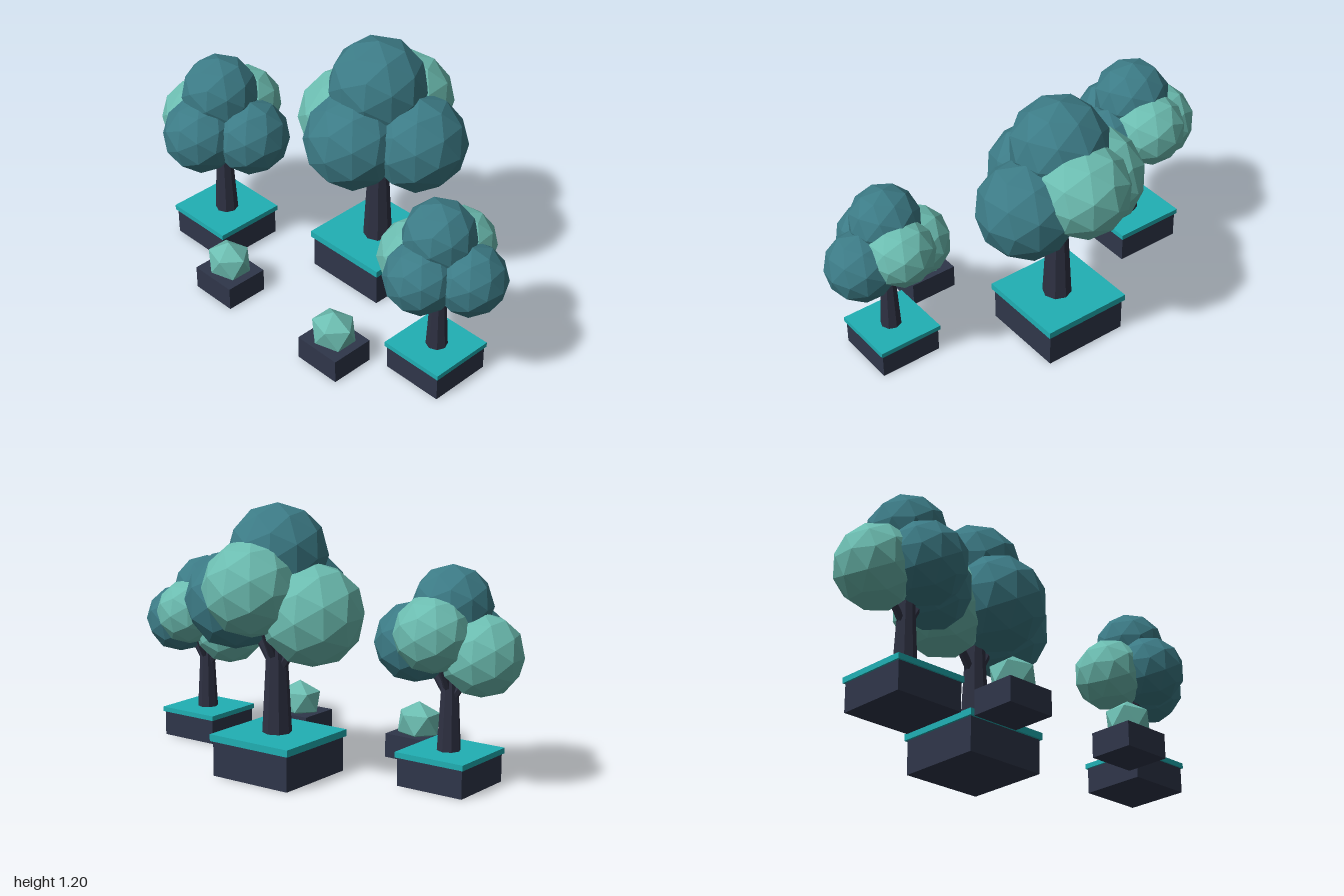
import * as THREE from 'three';

const flat = (name, color) => {
  const m = new THREE.MeshStandardMaterial({ color, flatShading: true });
  m.name = name;
  return m;
};

export function createModel() {
  const leafDark = flat('dark teal leaves', 0x3c7b86);
  const leafLight = flat('light mint leaves', 0x6cbdb1);
  const turf = flat('turquoise cap', 0x20b0b4);
  const stone = flat('slate planter', 0x2f364a);
  const bark = flat('dark bark', 0x2e3142);

  const add = (parent, name, geometry, material, x = 0, y = 0, z = 0) => {
    const mesh = new THREE.Mesh(geometry, material);
    mesh.name = name;
    mesh.position.set(x, y, z);
    parent.add(mesh);
    return mesh;
  };

  // Tapered limb between two points
  const limb = (parent, name, a, b, r0, r1, sides) => {
    const from = new THREE.Vector3(...a);
    const dir = new THREE.Vector3(...b).sub(from);
    const geo = new THREE.CylinderGeometry(r1, r0, dir.length(), sides);
    const mesh = add(parent, name, geo, bark);
    mesh.position.copy(from).addScaledVector(dir, 0.5);
    mesh.quaternion.setFromUnitVectors(new THREE.Vector3(0, 1, 0), dir.normalize());
  };

  // Leaf clumps: name, position, radius, turn, material
  const clumps = [
    ['frontLeaves', [0.003, 0.767, 0.15], 0.223, 0.2, leafDark],
    ['topLeaves', [0, 0.977, 0], 0.221, 0.5, leafDark],
    ['leftLeaves', [0.205, 0.763, -0.04], 0.222, 0.15, leafDark],
    ['rightLeaves', [-0.19, 0.735, -0.005], 0.227, 0.3, leafLight],
    ['backLeaves', [0.01, 0.85, -0.17], 0.212, 0.1, leafLight],
  ];

  const makeTree = (name, x, z, scale) => {
    const tree = new THREE.Group();
    tree.name = name;
    // Planter and its overhanging cap
    add(tree, 'planter', new THREE.BoxGeometry(0.405, 0.16, 0.405), stone, 0, 0.08, 0);
    add(tree, 'planterCap', new THREE.BoxGeometry(0.426, 0.031, 0.426), turf, 0, 0.1735, 0);
    // Trunk and branches
    limb(tree, 'trunk', [0.007, 0.185, 0], [0.007, 0.64, 0], 0.066, 0.042, 8);
    limb(tree, 'leftBranch', [0.01, 0.47, 0], [0.13, 0.66, -0.02], 0.024, 0.016, 6);
    limb(tree, 'rightBranch', [0, 0.46, 0], [-0.13, 0.64, 0], 0.024, 0.016, 6);
    limb(tree, 'backBranch', [0.005, 0.48, 0], [0.01, 0.72, -0.12], 0.024, 0.016, 6);
    // Crown
    for (const [label, p, r, turn, material] of clumps) {
      add(tree, label, new THREE.IcosahedronGeometry(r, 1), material, ...p).rotation.y = turn;
    }
    tree.position.set(x, 0, z);
    tree.scale.setScalar(scale);
    return tree;
  };

  const makeBush = (name, x) => {
    const bush = new THREE.Group();
    bush.name = name;
    add(bush, 'bushPlanter', new THREE.BoxGeometry(0.228, 0.11, 0.204), stone, 0, 0.055, 0);
    // Icosahedron standing on a corner, widened along x
    const geo = new THREE.IcosahedronGeometry(0.098, 0);
    geo.rotateZ(-Math.atan(2 / (1 + Math.sqrt(5))));
    geo.scale(1.13, 1, 1);
    add(bush, 'bushLeaves', geo, leafLight, 0, 0.16, 0);
    bush.position.set(x, 0, 0.438);
    return bush;
  };

  const model = new THREE.Group();
  model.name = 'plantedTrees';
  model.add(
    makeTree('centreTree', 0.012, -0.16, 1),
    makeTree('rightTree', -0.667, 0.165, 0.8),
    makeTree('leftTree', 0.691, 0.165, 0.72),
    makeBush('rightBush', -0.329),
    makeBush('leftBush', 0.35),
  );
  return model;
}
